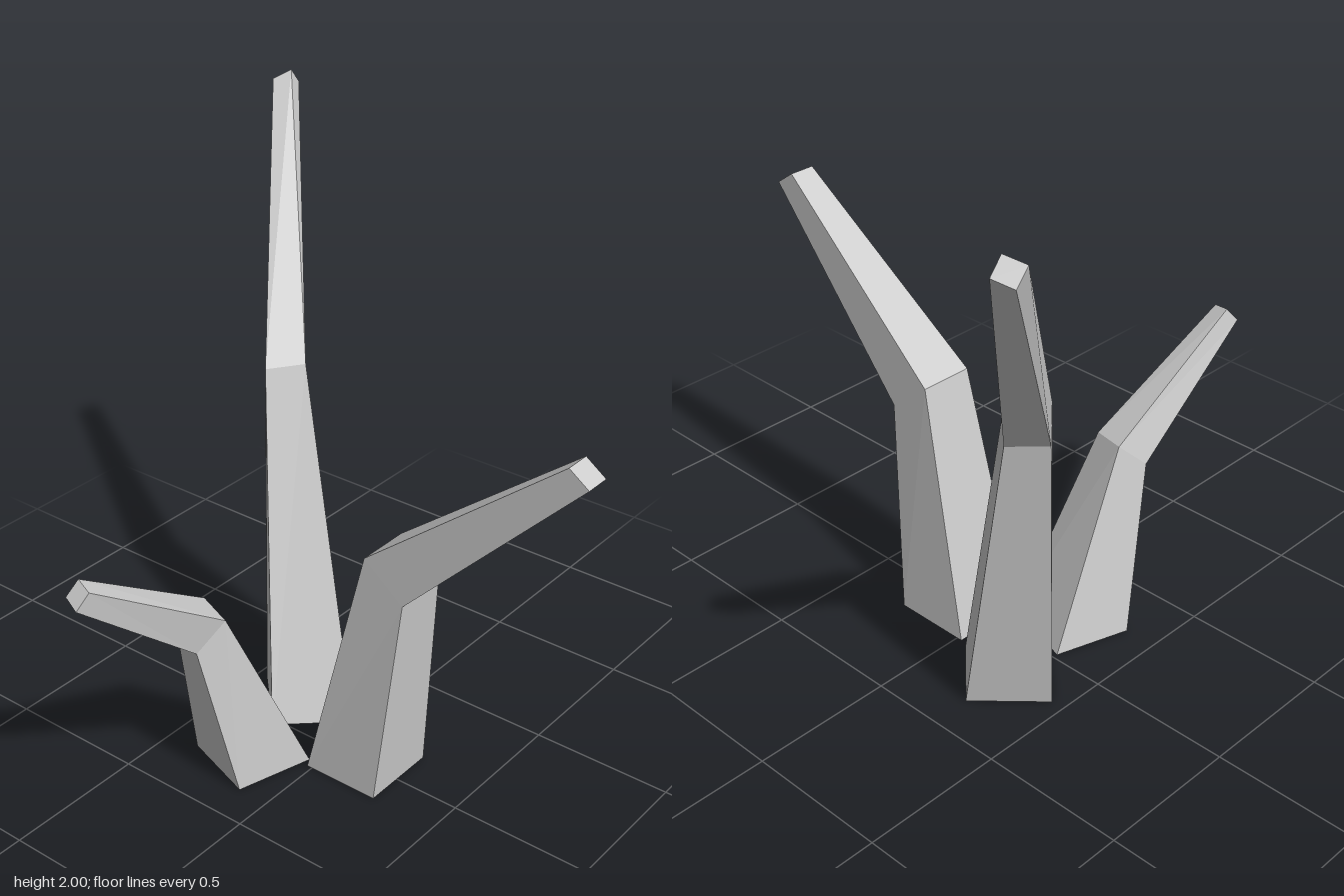
import * as THREE from 'three';

const material = new THREE.MeshStandardMaterial({ color: 0xcccccc, flatShading: true });

// Loft through four-cornered sections (base, bend, tip), corners running
// counter-clockwise seen from above: inner pair first, then outer pair.
function createStalk(name, sections) {
  const pos = [];
  const quad = (a, b, c, d) => pos.push(...a, ...b, ...c, ...a, ...c, ...d);
  for (let s = 0; s < sections.length - 1; s++) {
    const lo = sections[s], hi = sections[s + 1];
    for (let i = 0; i < 4; i++) {
      const j = (i + 1) % 4;
      quad(lo[i], lo[j], hi[j], hi[i]);
    }
  }
  // End caps
  quad(...sections[sections.length - 1]);
  quad(...[...sections[0]].reverse());

  const geo = new THREE.BufferGeometry();
  geo.setAttribute('position', new THREE.Float32BufferAttribute(pos, 3));
  geo.computeVertexNormals();
  const mesh = new THREE.Mesh(geo, material);
  mesh.name = name;
  return mesh;
}

// Section lying square to x: inner and outer edge as [x, y], plus half width
const straight = ([xi, yi], [xo, yo], h, z = -0.01) => [
  [xi, yi, z - h], [xi, yi, z + h], [xo, yo, z + h], [xo, yo, z - h],
];

export function createModel() {
  const group = new THREE.Group();
  group.name = 'branchedStalks';

  // Medium stalk leaning to the left (+x)
  group.add(createStalk('leftStalk', [
    straight([-0.02, 0], [0.26, 0], 0.14),
    straight([0.18, 0.88], [0.33, 0.76], 0.096),
    straight([0.855, 1.41], [0.925, 1.36], 0.045),
  ]));

  // Tall stalk leaning back and to the right
  group.add(createStalk('tallBackStalk', [
    [[-0.26, 0, 0.03], [-0.05, 0, -0.16], [-0.25, 0, -0.36], [-0.453, 0, -0.17]],
    [[-0.51, 1.19, -0.262], [-0.417, 1.2, -0.362], [-0.48, 1.1, -0.43], [-0.575, 1.1, -0.335]],
    [[-0.93, 1.97, -0.82], [-0.885, 2, -0.865], [-0.885, 1.95, -0.905], [-0.93, 1.92, -0.862]],
  ]));

  // Short stalk leaning forward
  group.add(createStalk('shortFrontStalk', [
    [[-0.035, 0, 0.1], [-0.303, 0, 0.018], [-0.385, 0, 0.28], [-0.115, 0, 0.37]],
    [[-0.155, 0.655, 0.365], [-0.28, 0.67, 0.325], [-0.322, 0.58, 0.418], [-0.192, 0.565, 0.465]],
    [[-0.235, 0.977, 0.86], [-0.298, 0.99, 0.84], [-0.315, 0.94, 0.88], [-0.25, 0.925, 0.903]],
  ]));

  return group;
}
